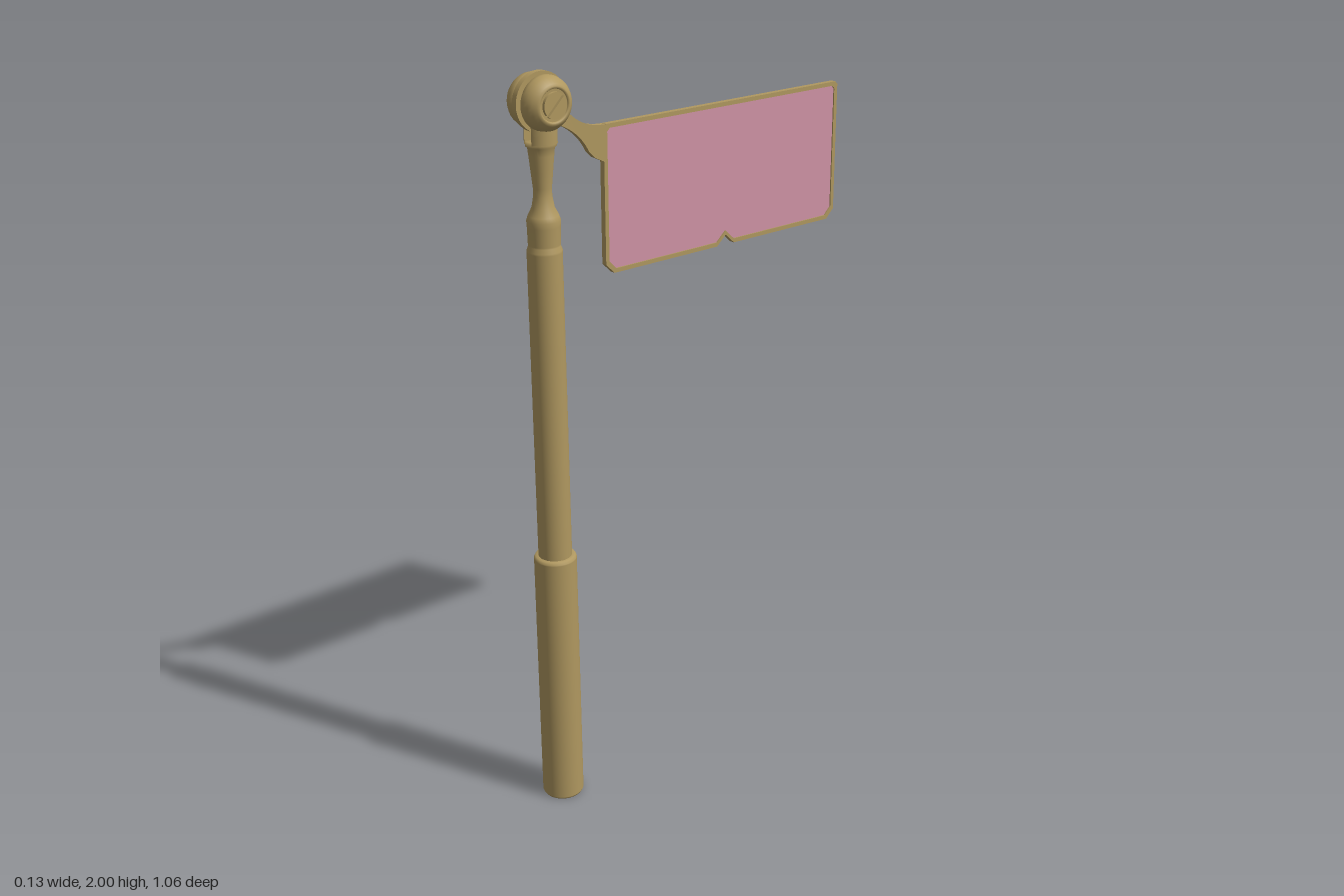
import * as THREE from 'three';

const brass = new THREE.MeshStandardMaterial({ color: 0xb09860 });
brass.name = 'brass';
const pink = new THREE.MeshStandardMaterial({ color: 0xd094a6 });
pink.name = 'pink';

const POLE_Z = 0.459, HINGE_Y = 1.926;
const v2 = (pts) => pts.map(([x, y]) => new THREE.Vector2(x, y));

function add(parent, name, geometry, material = brass) {
  const mesh = new THREE.Mesh(geometry, material);
  mesh.name = name;
  parent.add(mesh);
  return mesh;
}

// Plate lying in the z-y plane, centred on x = 0; shape coordinates are (z, y)
function plate(shape, thickness) {
  const g = new THREE.ExtrudeGeometry(shape, { depth: thickness, bevelEnabled: false, curveSegments: 32 });
  return g.translate(0, 0, -thickness / 2).rotateY(-Math.PI / 2);
}

// Part of a disc beyond x = gap, extruded upwards along y
function discSegment(r, gap, height) {
  const a = Math.acos(gap / r);
  const s = new THREE.Shape();
  s.absarc(0, 0, r, -a, a, false);
  s.closePath();
  return new THREE.ExtrudeGeometry(s, { depth: height, bevelEnabled: false, curveSegments: 20 }).rotateX(-Math.PI / 2);
}

// Sign outline with clipped corners and a small notch below, shrunk by inset i
function signOutline(i) {
  const f = 0.277 - i, b = -0.529 + i, t = 1.846 - i, d = 1.464 + i;
  const c = 0.026 - i * 0.4, k = 0.008, n = -0.125;
  return v2([
    [f - c, d], [f, d + c], [f, t - k], [f - k, t], [b + k, t], [b, t - k], [b, d + c], [b + c, d],
    [n - 0.03, d], [n, d + 0.027], [n + 0.03, d],
  ]);
}

export function createModel() {
  const model = new THREE.Group();
  model.name = 'signPost';

  // Handle and pole
  const post = new THREE.Group();
  post.name = 'post';
  post.position.z = POLE_Z;
  model.add(post);
  add(post, 'handle', new THREE.LatheGeometry(v2([
    [0, 0], [0.053, 0], [0.056, 0.006], [0.056, 0.725], [0.056, 0.728], [0.052, 0.735], [0.04, 0.735],
  ]), 32));
  add(post, 'pole', new THREE.LatheGeometry(v2([
    [0.044, 0.72], [0.044, 1.56], [0.044, 1.565], [0.04, 1.576], [0.04, 1.58],
    [0.041, 1.625], [0.042, 1.64], [0.038, 1.652], [0.028, 1.672], [0.023, 1.7],
    [0.023, 1.72], [0.027, 1.76], [0.031, 1.8], [0.033, 1.818], [0.038, 1.822], [0.038, 1.835], [0, 1.836],
  ]), 32));

  // Two mirrored fork sides with a rounded cheek and a slotted screw
  for (const [side, turn] of [['left', 0], ['right', Math.PI]]) {
    const fork = new THREE.Group();
    fork.name = side + 'Fork';
    fork.position.set(0, HINGE_Y, POLE_Z);
    fork.rotation.y = turn;
    model.add(fork);
    add(fork, 'prong', discSegment(0.04, 0.014, 0.08)).position.y = -0.098;
    add(fork, 'cheek', new THREE.LatheGeometry(v2([
      [0, 0.014], [0.062, 0.014], [0.0665, 0.017], [0.067, 0.028], [0.064, 0.04],
      [0.058, 0.05], [0.05, 0.058], [0.045, 0.061], [0.041, 0.061], [0.039, 0.058], [0.039, 0.056], [0, 0.056],
    ]), 36).rotateZ(-Math.PI / 2));
    const screw = new THREE.Group();
    screw.name = 'screw';
    screw.rotation.x = Math.PI / 4;
    fork.add(screw);
    for (const half of [0, Math.PI]) {
      add(screw, 'screwHalf', discSegment(0.032, 0.003, 0.009).rotateY(half).rotateZ(-Math.PI / 2)).position.x = 0.055;
    }
  }

  // Hinge disc and washer between the fork sides
  add(model, 'hingeDisc', new THREE.CylinderGeometry(0.073, 0.073, 0.016, 40).rotateZ(Math.PI / 2))
    .position.set(0, HINGE_Y, POLE_Z);
  add(model, 'hingePin', new THREE.CylinderGeometry(0.03, 0.03, 0.04, 24).rotateZ(Math.PI / 2))
    .position.set(0, HINGE_Y, POLE_Z);

  // Curved arm flaring into the sign corner
  const arm = new THREE.Shape();
  arm.moveTo(0.43, 1.95);
  arm.lineTo(0.402, 1.915);
  arm.bezierCurveTo(0.38, 1.885, 0.345, 1.846, 0.272, 1.846);
  arm.lineTo(0.272, 1.752);
  arm.lineTo(0.305, 1.768);
  arm.lineTo(0.322, 1.785);
  arm.bezierCurveTo(0.335, 1.81, 0.36, 1.845, 0.415, 1.866);
  arm.closePath();
  add(model, 'arm', plate(arm, 0.016));

  // Brass frame around the pink panel
  const frame = new THREE.Shape(signOutline(0));
  frame.holes.push(new THREE.Path(signOutline(0.011)));
  add(model, 'signFrame', plate(frame, 0.016));
  add(model, 'signPanel', plate(new THREE.Shape(signOutline(0.0105)), 0.009), pink);

  return model;
}
